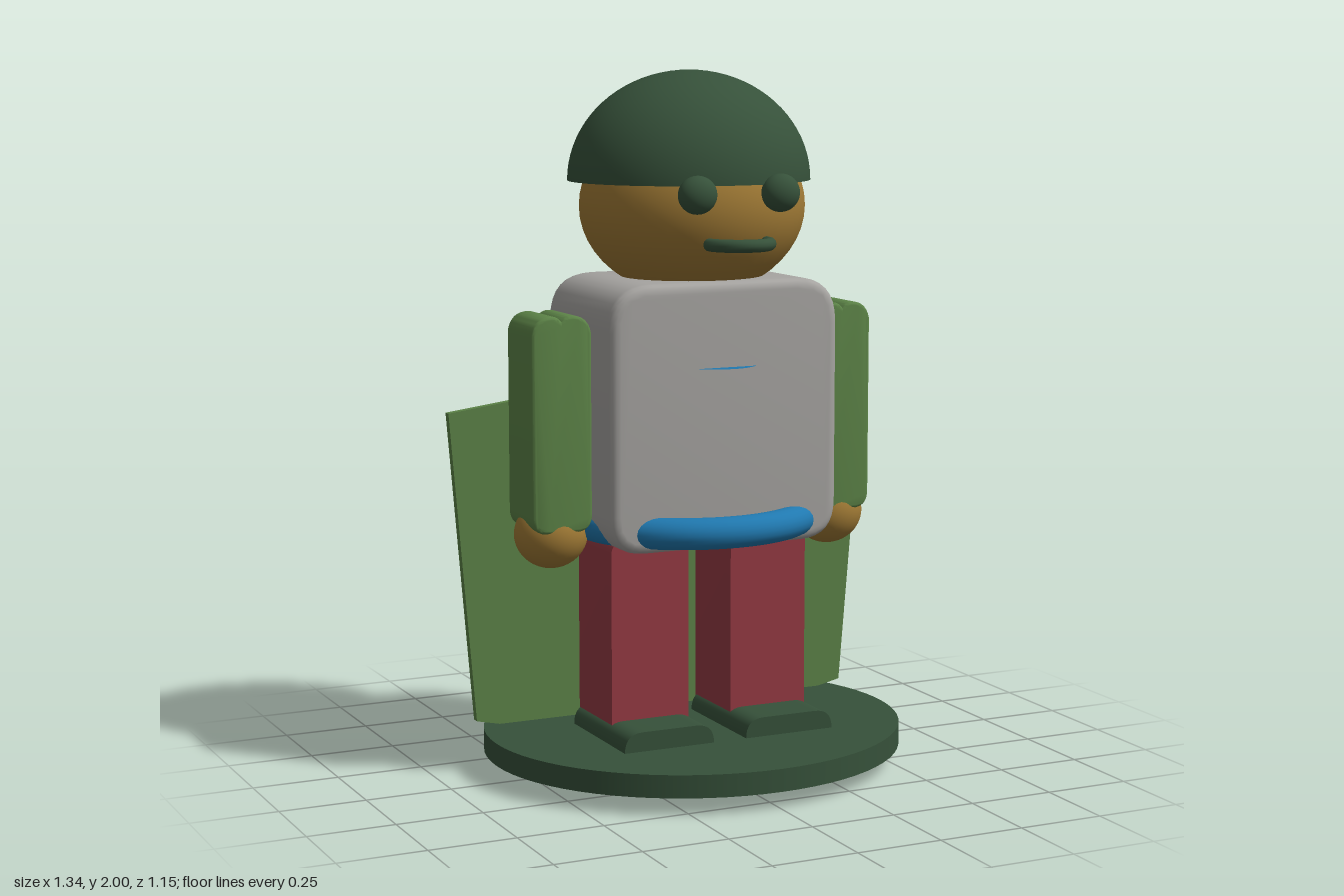
import * as THREE from 'three';
import { toCreasedNormals } from 'three/addons/utils/BufferGeometryUtils.js';

const paint = (name, color, side = THREE.FrontSide) => {
  const m = new THREE.MeshStandardMaterial({ color, side });
  m.name = name;
  return m;
};

// Rectangle with separate top and bottom corner radii, centred on x
function roundedRect(w, y0, y1, rTop, rBottom) {
  const h = w / 2, s = new THREE.Shape();
  s.moveTo(-h + rBottom, y0).lineTo(h - rBottom, y0);
  if (rBottom) s.quadraticCurveTo(h, y0, h, y0 + rBottom);
  s.lineTo(h, y1 - rTop).quadraticCurveTo(h, y1, h - rTop, y1);
  s.lineTo(-h + rTop, y1).quadraticCurveTo(-h, y1, -h, y1 - rTop);
  s.lineTo(-h, y0 + rBottom);
  if (rBottom) s.quadraticCurveTo(-h, y0, -h + rBottom, y0);
  return s;
}

// Shape swept from z0 to z1 with an inset rounded bevel
function slab(shape, z0, z1, bevel = 0) {
  const g = new THREE.ExtrudeGeometry(shape, {
    depth: z1 - z0 - 2 * bevel, curveSegments: 8, bevelEnabled: bevel > 0,
    bevelSize: bevel, bevelThickness: bevel, bevelOffset: -bevel, bevelSegments: 4,
  });
  g.translate(0, 0, z0 + bevel);
  return toCreasedNormals(g, 0.6);
}

export function createModel() {
  const darkGreen = paint('dark green', 0x36513a);
  const lightGreen = paint('light green', 0x5c8347);
  const gold = paint('ochre', 0xa07a35);
  const grey = paint('warm grey', 0xa5a3a0);
  const blue = paint('blue', 0x2079b0);
  const red = paint('red', 0x943a43);

  const model = new THREE.Group();
  const add = (name, geometry, material, x = 0, y = 0, z = 0) => {
    const mesh = new THREE.Mesh(geometry, material);
    mesh.name = name;
    mesh.position.set(x, y, z);
    model.add(mesh);
    return mesh;
  };
  const ball = (rx, ry, rz) => new THREE.SphereGeometry(1, 40, 24).scale(rx, ry, rz);

  // Oval stand
  add('stand', new THREE.CylinderGeometry(1, 1, 0.065, 72).scale(0.612, 1, 0.574), darkGreen, 0, 0.082, 0);

  // Six-sided panel behind the figure
  const panel = new THREE.Shape([[0, 0], [0.595, 0.13], [0.67, 1.035], [0, 1.12], [-0.67, 1.035], [-0.595, 0.13]]
    .map(([x, y]) => new THREE.Vector2(x, y)));
  add('backPanel', slab(panel, -0.222, -0.198), lightGreen);

  // Torso, belt ring and the thin disc edge on the chest
  add('torso', slab(roundedRect(0.706, 0.667, 1.42, 0.13, 0.11), -0.228, 0.228, 0.028), grey);
  add('belt', new THREE.TorusGeometry(0.295, 0.045, 20, 72).rotateX(Math.PI / 2).scale(1.1, 1, 1), blue, 0, 0.725, 0);
  add('chestDisc', new THREE.CircleGeometry(0.12, 32).rotateX(-Math.PI / 2), blue, 0, 1.18, 0.15);

  // Head, helmet and face
  add('head', ball(0.325, 0.26, 0.305), gold, 0, 1.62, 0);
  add('helmet', new THREE.SphereGeometry(1, 56, 20, 0, Math.PI * 2, 0, Math.PI / 2).scale(0.35, 0.31, 0.326),
    darkGreen, 0, 1.69, -0.02);
  add('helmetBase', new THREE.CircleGeometry(1, 56).rotateX(Math.PI / 2).scale(0.35, 1, 0.326),
    darkGreen, 0, 1.69, -0.02);
  add('mouth', new THREE.TorusGeometry(0.088, 0.018, 12, 28, Math.PI).rotateX(Math.PI / 2), darkGreen, 0, 1.53, 0.294);

  // Arm outline with a shallow notch in the top
  const arm = new THREE.Shape();
  arm.moveTo(-0.04, 0.72).lineTo(0.04, 0.72).quadraticCurveTo(0.09, 0.72, 0.09, 0.77);
  arm.lineTo(0.09, 1.28).quadraticCurveTo(0.08, 1.33, 0.03, 1.33);
  arm.quadraticCurveTo(0.012, 1.33, 0, 1.315).quadraticCurveTo(-0.012, 1.33, -0.03, 1.33);
  arm.quadraticCurveTo(-0.08, 1.33, -0.09, 1.28).lineTo(-0.09, 0.77).quadraticCurveTo(-0.09, 0.72, -0.04, 0.72);

  // Paired parts
  for (const [side, s] of [['left', 1], ['right', -1]]) {
    add(side + 'Eye', ball(0.056, 0.053, 0.043), darkGreen, s * 0.127, 1.667, 0.302);
    add(side + 'Arm', slab(arm, -0.093, 0.093, 0.01), lightGreen, s * 0.441);
    add(side + 'Hand', ball(0.105, 0.098, 0.1), gold, s * 0.441, 0.706, 0);
    add(side + 'Leg', slab(roundedRect(0.24, 0.15, 0.69, 0.04, 0), -0.115, 0.118), red, s * 0.187);
    add(side + 'Foot', slab(roundedRect(0.276, 0.11, 0.17, 0.055, 0), -0.11, 0.252), darkGreen, s * 0.189);
  }
  return model;
}
